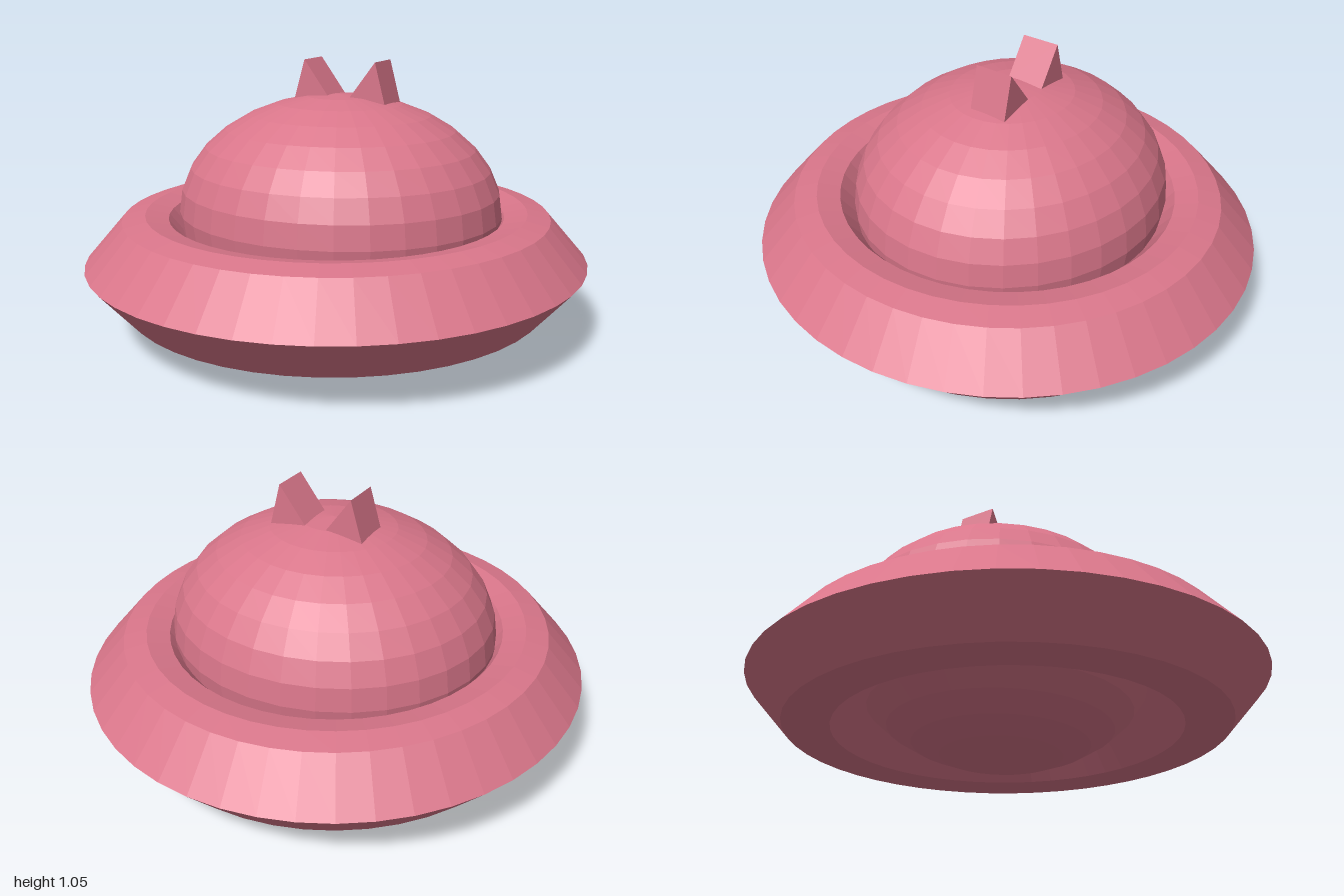
import * as THREE from 'three';

export function createModel() {
  const group = new THREE.Group();
  const material = new THREE.MeshStandardMaterial({ color: 0xd9768a, flatShading: true });
  const add = (name, geometry) => {
    const mesh = new THREE.Mesh(geometry, material);
    mesh.name = name;
    group.add(mesh);
    return mesh;
  };

  // Ring: a bevelled, closed cross-section turned about the y axis
  const midY = 0.297, midR = 0.762;
  const section = [
    [0.238, 0], [0.09, 0.168], [0, 0.187], [-0.09, 0.168], [-0.225, 0],
    [-0.09, -0.168], [0, -0.187], [0.09, -0.168], [0.238, 0],
  ].map(([r, y]) => new THREE.Vector2(midR + r, midY + y)).reverse();
  // Lathe faces point outwards when the section runs upwards on its outer side
  section.reverse();
  const ring = add('ring', new THREE.LatheGeometry(section, 48));
  ring.scale.x = 0.983;

  // Body: flattened ball through the ring, set slightly back
  const body = add('body', new THREE.SphereGeometry(1, 32, 16));
  body.scale.set(0.65, 0.461, 0.605);
  body.position.set(0, 0.47, -0.025);

  // Ears: two triangular prisms on top
  const ear = (name, points) => {
    const shape = new THREE.Shape(points.map(([x, y]) => new THREE.Vector2(x, y)));
    const mesh = add(name, new THREE.ExtrudeGeometry(shape, { depth: 0.15, bevelEnabled: false }));
    mesh.position.z = -0.135;
  };
  ear('rightEar', [[-0.183, 0.895], [-0.03, 0.922], [-0.134, 1.063]]);
  ear('leftEar', [[0.06, 0.922], [0.211, 0.895], [0.167, 1.063]]);

  return group;
}
